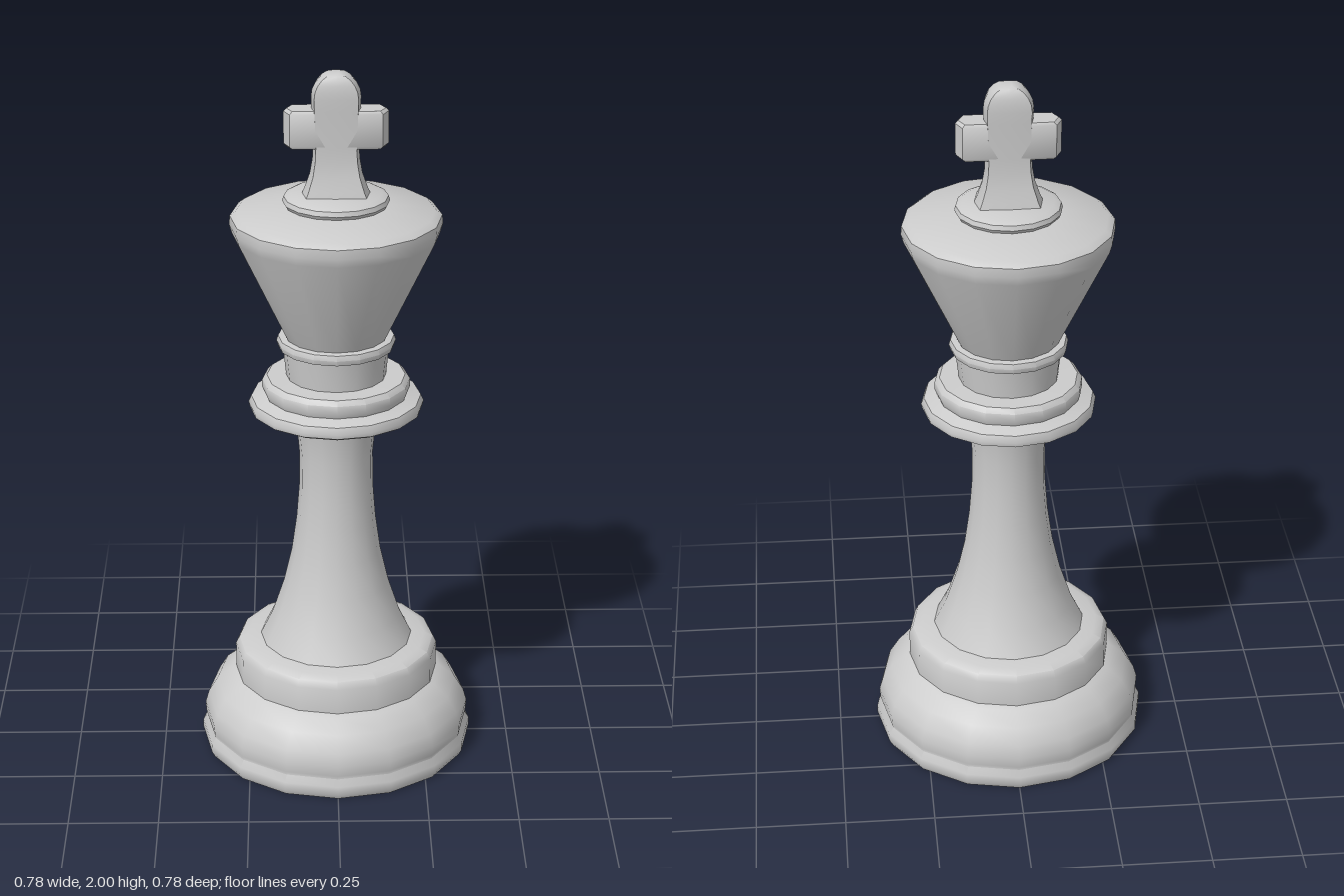
import * as THREE from 'three';
import { toCreasedNormals } from 'three/addons/utils/BufferGeometryUtils.js';

const material = new THREE.MeshStandardMaterial({ color: 0xcccccc });

function addMesh(group, name, geometry, crease = 0.75) {
  const mesh = new THREE.Mesh(toCreasedNormals(geometry, crease), material);
  mesh.name = name;
  group.add(mesh);
}

// Sixteen-sided turned part from [radius, height] pairs, bottom to top
function turned(profile) {
  return new THREE.LatheGeometry(profile.map(([r, y]) => new THREE.Vector2(r, y)), 16);
}

// Loft of eight-sided sections, each [y, half width, half depth], closed at both ends
function loft(sections) {
  const outline = [[1, 0], [0.88, 0.92], [0, 1], [-0.88, 0.92], [-1, 0], [-0.88, -0.92], [0, -1], [0.88, -0.92]];
  const n = outline.length;
  const pos = [], index = [];
  sections.forEach(([y, w, d]) => outline.forEach(([x, z]) => pos.push(x * w, y, z * d)));
  for (let s = 0; s < sections.length - 1; s++) {
    for (let i = 0; i < n; i++) {
      const a = s * n + i, b = s * n + (i + 1) % n;
      index.push(a, a + n, b, b, a + n, b + n);
    }
  }
  const top = (sections.length - 1) * n;
  for (let i = 1; i < n - 1; i++) {
    index.push(0, i, i + 1);
    index.push(top, top + i + 1, top + i);
  }
  const g = new THREE.BufferGeometry();
  g.setAttribute('position', new THREE.Float32BufferAttribute(pos, 3));
  g.setIndex(index);
  g.computeVertexNormals();
  return g;
}

export function createModel() {
  const group = new THREE.Group();
  group.name = 'chessKing';

  // Foot ring, bulging base and step
  addMesh(group, 'base', turned([
    [0, 0], [0.382, 0], [0.39, 0.015], [0.39, 0.04], [0.378, 0.06],
    [0.38, 0.07], [0.382, 0.1], [0.372, 0.135], [0.345, 0.18], [0.305, 0.213], [0.29, 0.22],
    [0.29, 0.295], [0.28, 0.315], [0.255, 0.325], [0.2, 0.33],
  ]));

  // Flared stem
  addMesh(group, 'stem', turned([
    [0.22, 0.322], [0.182, 0.4], [0.149, 0.5], [0.126, 0.6], [0.112, 0.7],
    [0.104, 0.8], [0.103, 0.9], [0.11, 0.98], [0.12, 1.035],
  ]));

  // Two stacked collar discs
  addMesh(group, 'collar', turned([
    [0.1, 1.03], [0.225, 1.033], [0.241, 1.042], [0.244, 1.055], [0.236, 1.073], [0.2, 1.085],
    [0.206, 1.1], [0.205, 1.122], [0.192, 1.135], [0.13, 1.137],
  ]));

  // Neck with its thin ring
  addMesh(group, 'neck', turned([
    [0.138, 1.13], [0.147, 1.218], [0.16, 1.223], [0.165, 1.238], [0.16, 1.252], [0.13, 1.256],
  ]));

  // Conical head, sloping crown and button
  addMesh(group, 'head', turned([
    [0.14, 1.25], [0.283, 1.55], [0.29, 1.575], [0.288, 1.6], [0.27, 1.614], [0.14, 1.632],
    [0.146, 1.642], [0.142, 1.655], [0.125, 1.664], [0, 1.666],
  ]));

  // Upright of the cross: flared foot, domed top
  const upright = [
    [1.655, 0.096, 0.064], [1.68, 0.085, 0.058], [1.72, 0.071, 0.048], [1.76, 0.064, 0.043],
    [1.8, 0.062, 0.042], [1.9, 0.066, 0.044],
  ];
  for (let i = 0; i <= 5; i++) {
    const t = (i / 5) * 1.45;
    upright.push([1.933 + 0.067 * Math.sin(t), 0.067 * Math.cos(t), 0.045 * Math.pow(Math.cos(t), 0.4)]);
  }
  addMesh(group, 'crossUpright', loft(upright), 0.6);

  // Arms of the cross: a bar with pointed ends and softened edges
  addMesh(group, 'crossArms', loft([
    [1.795, 0.133, 0.036], [1.803, 0.141, 0.041], [1.892, 0.141, 0.041], [1.9, 0.133, 0.036],
  ]), 0.6);

  return group;
}
